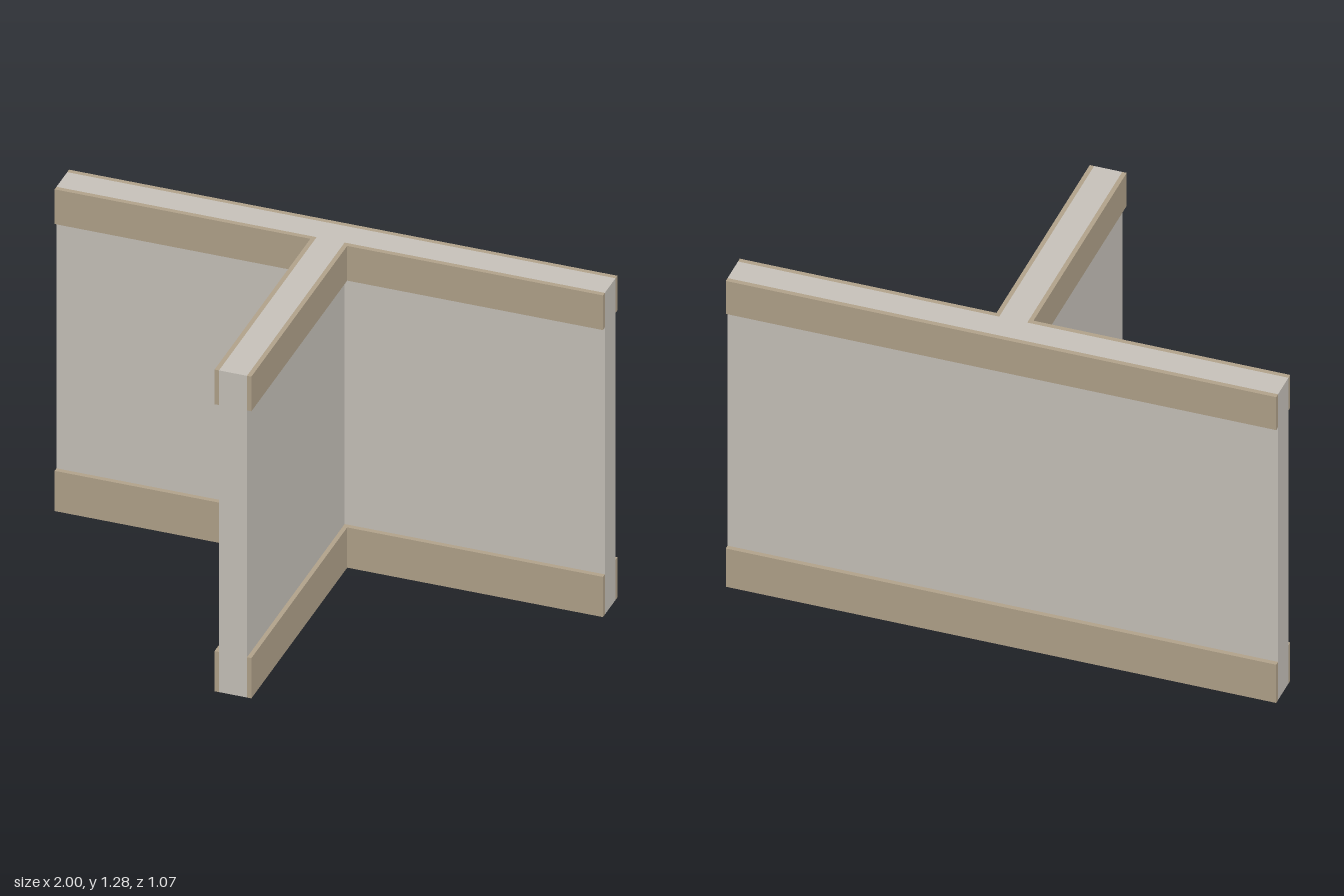
import * as THREE from 'three';

const HEIGHT = 1.28;
const BACK = -0.515, FRONT = -0.411; // faces of the cross wall
const HALF = 0.051;                  // half thickness of the stem wall
const END = 0.535;                   // free end of the stem wall
const TRIM = 0.018;

export function createModel() {
  const plaster = new THREE.MeshStandardMaterial({ color: 0xc9c4bc });
  plaster.name = 'plaster';
  const wood = new THREE.MeshStandardMaterial({ color: 0xb3a48c });
  wood.name = 'wood';
  const model = new THREE.Group();
  model.name = 'wallJunction';

  // T-shaped wall core, drawn in plan (shape y = -z) and extruded upward
  const plan = new THREE.Shape([
    [-1, -FRONT], [-HALF, -FRONT], [-HALF, -END], [HALF, -END],
    [HALF, -FRONT], [1, -FRONT], [1, -BACK], [-1, -BACK],
  ].map(([x, y]) => new THREE.Vector2(x, y)));
  const coreGeometry = new THREE.ExtrudeGeometry(plan, { depth: HEIGHT, bevelEnabled: false });
  coreGeometry.rotateX(-Math.PI / 2);
  const core = new THREE.Mesh(coreGeometry, plaster);
  core.name = 'wall';
  model.add(core);

  // One trim board given by its extents in x, y and z
  function board(name, x0, x1, y0, y1, z0, z1) {
    const mesh = new THREE.Mesh(new THREE.BoxGeometry(x1 - x0, y1 - y0, z1 - z0), wood);
    mesh.position.set((x0 + x1) / 2, (y0 + y1) / 2, (z0 + z1) / 2);
    mesh.name = name;
    model.add(mesh);
  }

  // Baseboards and crown boards along every wall face
  for (const [name, y0, y1] of [['baseboard', 0, 0.16], ['crownBoard', 1.142, HEIGHT]]) {
    board(name + 'Back', -1, 1, y0, y1, BACK - TRIM, BACK);
    const outer = HALF + TRIM * 0.9;
    board(name + 'FrontLeft', HALF, 1, y0, y1, FRONT, FRONT + TRIM);
    board(name + 'FrontRight', -1, -HALF, y0, y1, FRONT, FRONT + TRIM);
    board(name + 'StemLeft', HALF, outer, y0, y1, FRONT + TRIM, END);
    board(name + 'StemRight', -outer, -HALF, y0, y1, FRONT + TRIM, END);
  }
  return model;
}
